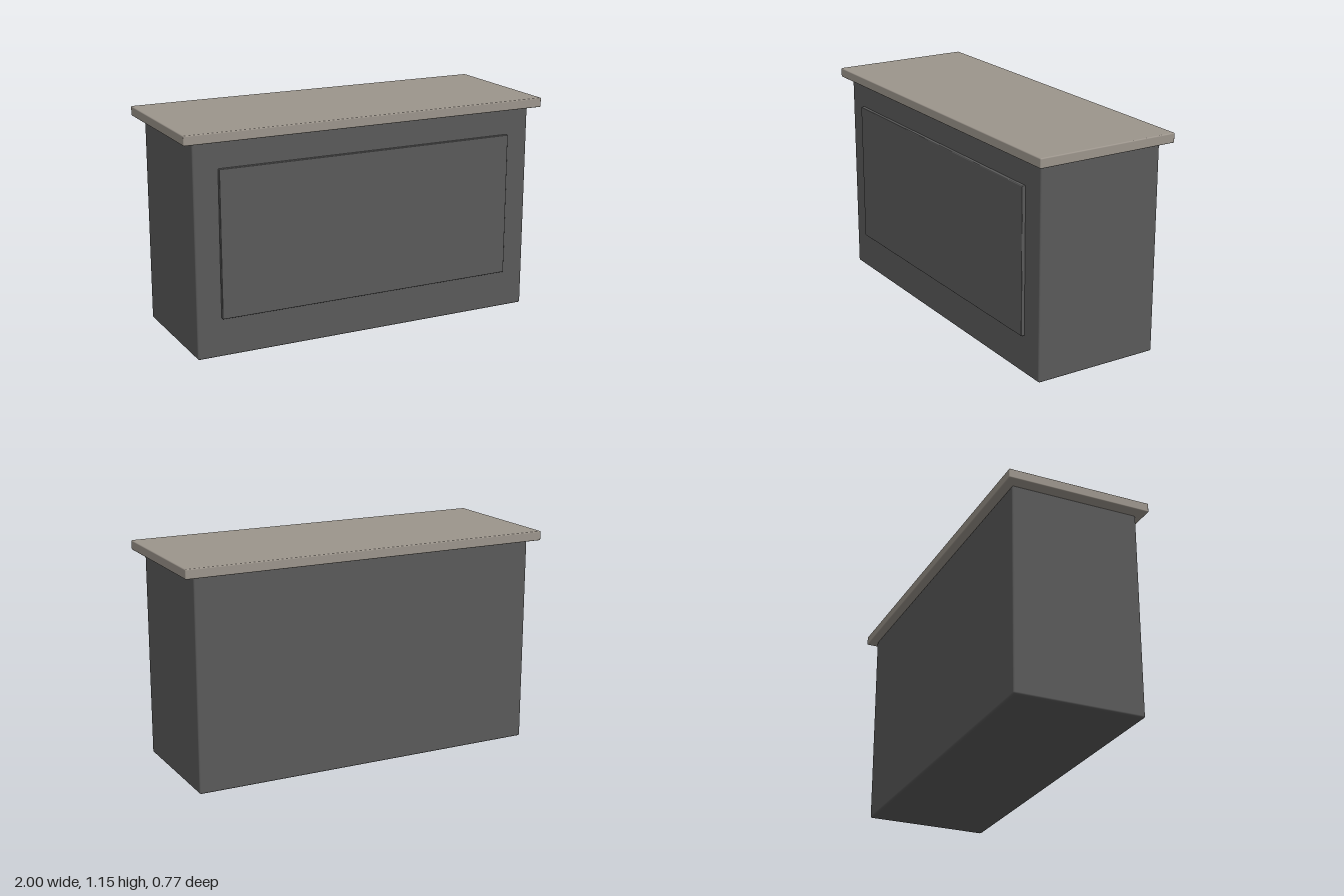
import * as THREE from 'three';
import { RoundedBoxGeometry } from 'three/addons/geometries/RoundedBoxGeometry.js';

export function createModel() {
  const group = new THREE.Group();
  const charcoal = new THREE.MeshStandardMaterial({ color: 0x5a5a5a });
  charcoal.name = 'charcoal';
  const stone = new THREE.MeshStandardMaterial({ color: 0x9c958c });
  stone.name = 'warm grey stone';

  // Softly edged block spanning the given heights and depths, centred on x
  function block(name, width, y0, y1, z0, z1, radius, material) {
    const geometry = new RoundedBoxGeometry(width, y1 - y0, z1 - z0, 2, radius);
    const mesh = new THREE.Mesh(geometry, material);
    mesh.name = name;
    mesh.position.set(0, (y0 + y1) / 2, (z0 + z1) / 2);
    group.add(mesh);
  }

  // Cabinet body
  block('counterBody', 1.886, 0, 1.097, -0.34, 0.34, 0.01, charcoal);
  // Raised panel, its back half set into the body
  block('frontPanel', 1.63, 0.2, 0.96, 0.322, 0.358, 0.004, charcoal);
  // Overhanging worktop
  block('counterTop', 2, 1.097, 1.147, -0.383, 0.383, 0.006, stone);

  return group;
}
